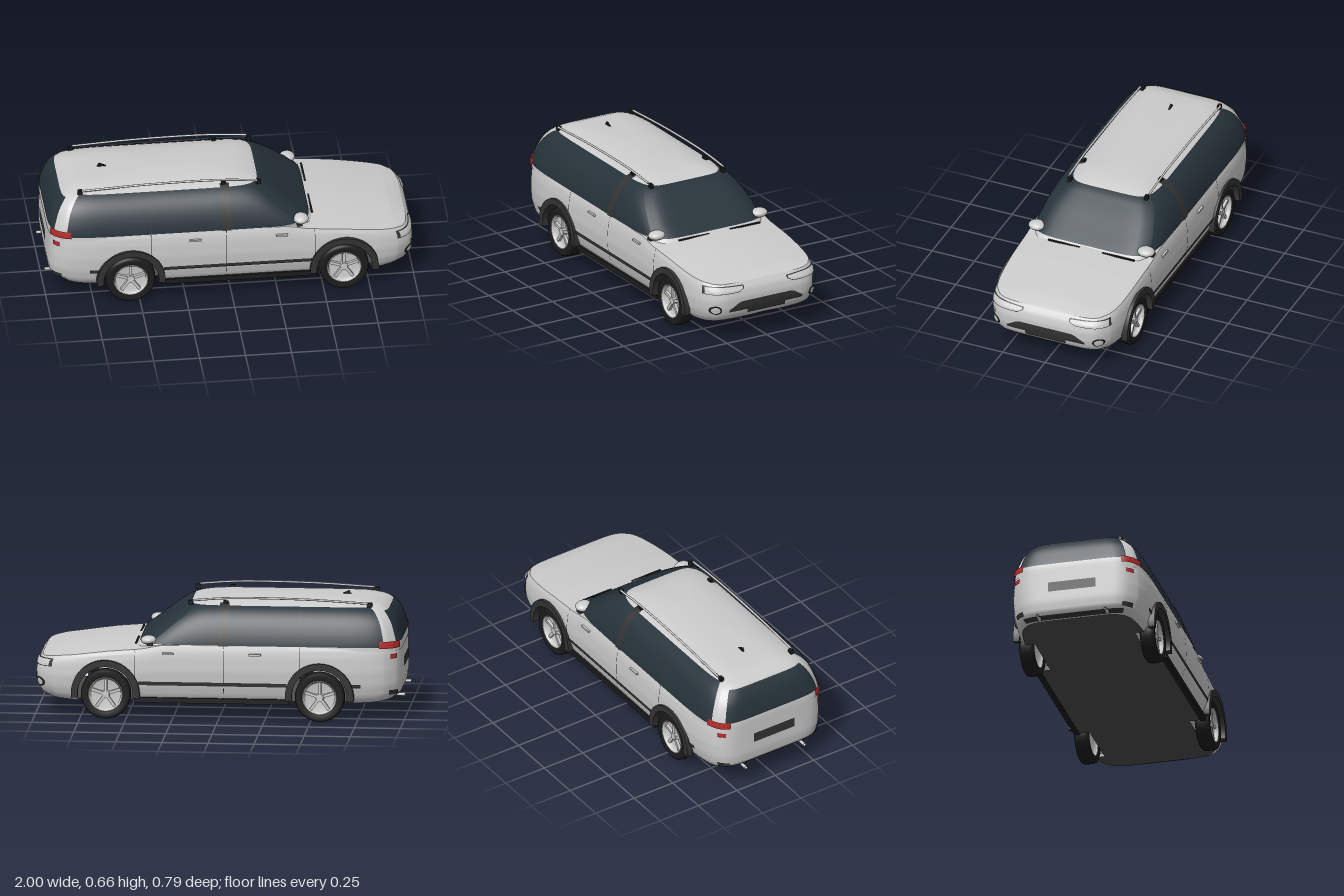
import * as THREE from 'three';
import { mergeVertices } from 'three/addons/utils/BufferGeometryUtils.js';

const mat = (color) => new THREE.MeshStandardMaterial({ color, side: THREE.DoubleSide });
const paint = mat(0xcccccc), glass = mat(0x26323a), dark = mat(0x333333), black = mat(0x1c1c1c);
const floorGrey = mat(0x4c4c4c), red = mat(0xb02a2a), lens = mat(0xe6e6e6);
const AXLES = [-0.55, 0.61], ARCH_R = 0.165, ARCH_Y = 0.14;

// linear lookup in a list of [key, value]
function lookup(table, k) {
  for (let i = 1; i < table.length; i++) {
    const [a, va] = table[i - 1], [b, vb] = table[i];
    if (k <= b) return va + (vb - va) * Math.max(0, (k - a) / (b - a));
  }
  return table[table.length - 1][1];
}

// smooth surface from fn(u, v) -> [x, y, z], u and v in 0..1
function grid(fn, nu, nv) {
  const pos = [], idx = [];
  for (let j = 0; j <= nv; j++) for (let i = 0; i <= nu; i++) pos.push(...fn(i / nu, j / nv));
  for (let j = 0; j < nv; j++) for (let i = 0; i < nu; i++) {
    const a = j * (nu + 1) + i, c = a + nu + 1;
    idx.push(a, c, a + 1, a + 1, c, c + 1);
  }
  let g = new THREE.BufferGeometry();
  g.setAttribute('position', new THREE.Float32BufferAttribute(pos, 3));
  g.setIndex(idx);
  g = mergeVertices(g, 1e-5);
  g.computeVertexNormals();
  return g;
}

// unit plan outline: a rounded rectangle |X|^7 + |Z|^7 = 1
const other = (v) => Math.pow(Math.max(0, 1 - Math.pow(Math.abs(v), 7)), 1 / 7);
const sideX = [];
for (let x = -0.9; x < 0.91; x += 0.03) sideX.push(x);
for (const c of AXLES) {
  sideX.push(c - ARCH_R - 0.001, c + ARCH_R + 0.001);
  for (let k = 0; k <= 20; k++) sideX.push(c + ARCH_R * Math.cos(Math.PI * k / 20));
}
sideX.sort((a, b) => b - a);
const ends = Array.from({ length: 11 }, (_, i) => i * 0.09);
const half = [
  ...ends.map((z) => [other(z), z]),
  ...sideX.map((x) => [x, other(x)]),
  ...ends.slice().reverse().map((z) => [-other(z), z]),
];
const flip = (list) => list.map(([x, z]) => [x, -z]).reverse();
const loop = [...half, ...flip(half)];

// lower body: belt line, lower edge, width and end insets over relative height
const belt = (x) => lookup([[-1, 0.42], [0.3, 0.41], [0.42, 0.387], [0.6, 0.372], [0.8, 0.347], [0.93, 0.335], [1, 0.325]], x);
const bottom = (x) => lookup([[-1, 0.12], [-0.85, 0.105], [-0.4, 0.095], [0.8, 0.095], [1, 0.105]], x);
const WIDTH = [[0, 0.335], [0.1, 0.36], [0.3, 0.378], [0.55, 0.385], [0.8, 0.381], [0.92, 0.375], [1, 0.366]];
const NOSE = [[0, 0.07], [0.08, 0.035], [0.2, 0.015], [0.4, 0.003], [0.65, 0], [0.85, 0.01], [1, 0.035]];
const TAIL = [[0, 0.06], [0.1, 0.02], [0.3, 0.012], [1, 0.018]];
function lowerEdge(x) {
  for (const c of AXLES) {
    const d = ARCH_R * ARCH_R - (x - c) ** 2;
    if (d >= -1e-9) return ARCH_Y + Math.sqrt(Math.max(0, d));
  }
  return bottom(x);
}
function bodyPoint(X, Z, y, off = 0) {
  const h = (y - bottom(X)) / (belt(X) - bottom(X));
  const inset = lookup(X > 0 ? NOSE : TAIL, h) * X ** 6;
  return [X * (1 + off) - Math.sign(X) * inset, y, Z * (lookup(WIDTH, h) + off)];
}

// cabin levels: y, front x, rear x, half width
const LEVELS = [
  [0.39, 0.46, -0.985, 0.37], [0.43, 0.41, -0.982, 0.364], [0.48, 0.345, -0.968, 0.35],
  [0.53, 0.28, -0.95, 0.328], [0.57, 0.225, -0.925, 0.3], [0.6, 0.18, -0.895, 0.265],
  [0.62, 0.13, -0.85, 0.222], [0.636, 0.05, -0.77, 0.155], [0.645, -0.1, -0.5, 0.06], [0.646, -0.25, -0.35, 0],
];
function level(t) {
  const i = Math.min(Math.floor(t), LEVELS.length - 2), f = t - i;
  const at = (n) => LEVELS[Math.min(Math.max(n, 0), LEVELS.length - 1)];
  const [y, front, rear, w] = [0, 1, 2, 3].map((c) => {
    const [p, q, r, s] = [at(i - 1)[c], at(i)[c], at(i + 1)[c], at(i + 2)[c]];
    return q + 0.5 * f * (r - p + f * (2 * p - 5 * q + 4 * r - s + f * (3 * (q - r) + s - p)));
  });
  return { y, w: Math.max(0, w), cx: (front + rear) / 2, a: (front - rear) / 2 };
}
function cabinPoint(X, Z, t, off = 0) {
  const l = level(t);
  return [l.cx + X * (l.a + off), l.y + off * 0.6, Z * (l.w + off)];
}

// one wheel facing +z
function makeWheel(add) {
  const wheel = new THREE.Group();
  const lathe = (pts) => new THREE.LatheGeometry(pts.map(([r, y]) => new THREE.Vector2(r, y)), 40).rotateX(Math.PI / 2);
  add('tyre', lathe([[0.09, -0.035], [0.12, -0.042], [0.131, -0.035], [0.135, -0.02], [0.135, 0.02],
    [0.131, 0.035], [0.12, 0.042], [0.09, 0.035]]), black, wheel);
  add('rim', lathe([[0, -0.012], [0.082, -0.012], [0.088, -0.035], [0.094, -0.036], [0.094, 0.037], [0.088, 0.037],
    [0.083, 0.022], [0.08, 0.006], [0, 0.006]]), lens, wheel);
  add('hub', new THREE.CylinderGeometry(0.02, 0.024, 0.024, 20).rotateX(Math.PI / 2).translate(0, 0, 0.016), paint, wheel);
  for (let k = 0; k < 5; k++)
    add('spoke', new THREE.BoxGeometry(0.016, 0.07, 0.016).translate(0, 0.05, 0.016).rotateZ(k * Math.PI * 0.4), paint, wheel);
  return wheel;
}

export function createModel() {
  const car = new THREE.Group();
  car.name = 'estateCar';
  const add = (name, geo, material, parent = car) => {
    const m = new THREE.Mesh(geo, material);
    m.name = name;
    parent.add(m);
    return m;
  };
  const box = (name, material, size, at, parent) =>
    add(name, new THREE.BoxGeometry(...size).translate(...at), material, parent);
  const n = loop.length - 1, pick = (list, u) => list[Math.round(u * (list.length - 1))];

  // painted shell
  add('bodySides', grid((u, v) => {
    const [X, Z] = pick(loop, u), lo = lowerEdge(X);
    return bodyPoint(X, Z, lo + (belt(X) - lo) * v);
  }, n, 18), paint);
  add('bonnet', grid((u, v) => {
    const [X, Z] = pick(loop, u), [x, y, z] = bodyPoint(X, Z, belt(X)), q = 1 - v;
    return [x, y + 0.022 * (1 - q * q) * (1 - X ** 12), z * q];
  }, n, 10), paint);
  add('cabin', grid((u, v) => cabinPoint(...pick(loop, u), v * 9), n, 36), paint);
  add('floor', grid((u, v) => {
    const [X, Z] = pick(loop, u), [x, y, z] = bodyPoint(X, Z, bottom(X));
    const edge = lowerEdge(X) > bottom(X) + 0.02 ? Math.min(Math.abs(z), 0.28) * Math.sign(z) : z;
    return [x, y, edge * (1 - v)];
  }, n, 2), floorGrey);

  // glass
  const front = half.filter(([x]) => x >= -0.88), wrap = [...flip(front), ...front];
  const back = loop.filter(([x, z]) => x < 0 && Math.abs(z) <= 0.82);
  add('windscreenAndSideGlass', grid((u, v) => cabinPoint(...pick(wrap, u), 0.6 + v * 4.85, 0.003), wrap.length - 1, 24), glass);
  add('rearGlass', grid((u, v) => cabinPoint(...pick(back, u), 1.1 + v * 3.6, 0.003), back.length - 1, 14), glass);

  // patches lying on the shell
  const sidePatch = (name, m, s, x0, x1, y0, y1, off = 0.003) => add(name, grid((u, v) => {
    const X = x0 + (x1 - x0) * u;
    return bodyPoint(X, s * other(X), y0 + (y1 - y0) * v, off);
  }, 16, 6), m);
  const endPoint = (dir, z, y, off) => bodyPoint(dir * other(z / 0.38), z / 0.38, y, off);
  const endPatch = (name, m, dir, z0, z1, lo, hi, off = 0.003) => add(name, grid((u, v) => {
    const z = z0 + (z1 - z0) * u;
    return endPoint(dir, z, lo(z) + (hi(z) - lo(z)) * v, off);
  }, 24, 6), m);
  const ovalPatch = (name, m, z0, y0, rz, ry, off) => add(name, grid((u, v) =>
    endPoint(1, z0 + rz * v * Math.cos(u * 2 * Math.PI), y0 + ry * v * Math.sin(u * 2 * Math.PI), off), 24, 3), m);
  const pillar = (name, s, x, w, t0, t1) => add(name, grid((u, v) => {
    const t = t0 + (t1 - t0) * v, l = level(t), X = (x + (u - 0.5) * w - l.cx) / l.a;
    return cabinPoint(X, s * other(X), t, 0.006);
  }, 2, 20), dark);

  // nose and tail details
  endPatch('grille', dark, 1, -0.228, 0.228, () => 0.172, (z) => 0.226 - Math.max(0, Math.abs(z) - 0.16) * 0.6);
  endPatch('frontPlate', dark, 1, -0.118, 0.118, () => 0.152, () => 0.176, 0.006);
  endPatch('chinSpoiler', dark, 1, -0.22, 0.22, () => 0.107, (z) => 0.13 - Math.abs(z) * 0.05);
  endPatch('rearPlate', dark, -1, -0.13, 0.13, () => 0.27, () => 0.325);
  endPatch('rearValance', dark, -1, -0.3, 0.3, () => 0.122, () => 0.14);

  for (const s of [1, -1]) {
    endPatch('headlightFrame', dark, 1, s * 0.135, s * 0.345,
      (z) => 0.279 + Math.max(0, 0.17 - Math.abs(z)) * 0.5, (z) => 0.312 + (Math.abs(z) - 0.135) * 0.05);
    endPatch('headlight', lens, 1, s * 0.142, s * 0.338,
      (z) => 0.283 + Math.max(0, 0.17 - Math.abs(z)) * 0.5, (z) => 0.308 + (Math.abs(z) - 0.135) * 0.05, 0.005);
    ovalPatch('fogLightRing', black, s * 0.298, 0.19, 0.029, 0.026, 0.004);
    ovalPatch('fogLight', lens, s * 0.298, 0.19, 0.021, 0.019, 0.007);
    add('tailLight', grid((u, v) => {
      const a = (122 + 38 * u) * Math.PI / 180;
      return cabinPoint(-(Math.abs(Math.cos(a)) ** (2 / 7)), s * Math.sin(a) ** (2 / 7), 0.4 + v * 0.8, 0.007);
    }, 16, 4), red);
    sidePatch('tailLightLower', red, s, -0.975, -0.94, 0.35, 0.375, 0.004);
    sidePatch('rearReflector', dark, s, -0.98, -0.93, 0.15, 0.175, 0.004);

    // side trim, seams, handles
    sidePatch('sideMoulding', dark, s, -0.37, 0.43, 0.192, 0.212, 0.006);
    sidePatch('rearMoulding', dark, s, -0.77, -0.72, 0.192, 0.212, 0.006);
    box('sill', black, [0.84, 0.028, 0.03], [0.035, 0.107, s * 0.352]);
    for (const x of [-0.03, 0.45]) sidePatch('doorSeam', black, s, x - 0.0015, x + 0.0015, 0.12, belt(x), 0.0015);
    sidePatch('doorSeam', black, s, -0.4415, -0.4385, 0.285, 0.415, 0.0015);
    for (const x of [-0.2, 0.27]) box('doorHandle', paint, [0.065, 0.01, 0.012], [x, 0.367, s * 0.384]);
    pillar('doorPillar', s, -0.03, 0.05, 0.5, 6);
    pillar('windowDivider', s, -0.44, 0.008, 0.6, 5.3);

    // mirrors
    const mirror = add('mirror', new THREE.SphereGeometry(1, 24, 16), paint);
    mirror.scale.set(0.042, 0.025, 0.048);
    mirror.position.set(0.38, 0.43, s * 0.322);
    box('mirrorArm', dark, [0.03, 0.014, 0.06], [0.37, 0.412, s * 0.335]);

    // roof rails, wipers, exhausts
    const rail = new THREE.CatmullRomCurve3([[-0.8, 0.632], [-0.45, 0.649], [-0.05, 0.65], [0.15, 0.635]]
      .map(([x, y]) => new THREE.Vector3(x, y, s * 0.236)));
    add('roofRail', new THREE.TubeGeometry(rail, 24, 0.006, 8), paint);
    for (const x of [-0.81, -0.03, 0.16]) box('railFoot', black, [0.026, 0.024, 0.018], [x, 0.622, s * 0.226]);
    box('wiper', black, [0.01, 0.006, 0.19], [0.452, 0.404, s * 0.16 - 0.03]);
    add('exhaust', new THREE.CylinderGeometry(0.009, 0.009, 0.12, 12, 1, true).rotateZ(Math.PI / 2)
      .translate(-0.94, 0.128, s * 0.19), paint);

    // wheels, arch flares and arch liners
    for (const x of AXLES) {
      const wheel = makeWheel(add);
      wheel.name = 'wheel';
      wheel.position.set(x, 0.135, s * 0.337);
      if (s < 0) wheel.rotation.y = Math.PI;
      car.add(wheel);
      const ring = new THREE.Shape();
      ring.absarc(0, 0, 0.186, -0.12, Math.PI + 0.12, false);
      ring.absarc(0, 0, 0.15, Math.PI + 0.12, -0.12, true);
      add('archFlare', new THREE.ExtrudeGeometry(ring, { depth: 0.035, bevelEnabled: false, curveSegments: 28 })
        .translate(x, ARCH_Y, s > 0 ? 0.36 : -0.395), dark);
      add('archLiner', grid((u, v) => [x + ARCH_R * Math.cos(u * Math.PI), ARCH_Y - 0.02 + ARCH_R * Math.sin(u * Math.PI),
        s * (0.28 + 0.085 * v)], 24, 1), dark);
    }
  }

  // roof fin
  const fin = new THREE.Shape([[-0.69, 0.64], [-0.64, 0.64], [-0.68, 0.658]].map((p) => new THREE.Vector2(...p)));
  add('roofAerial', new THREE.ExtrudeGeometry(fin, { depth: 0.01, bevelEnabled: false }).translate(0, 0, -0.005), black);
  return car;
}
